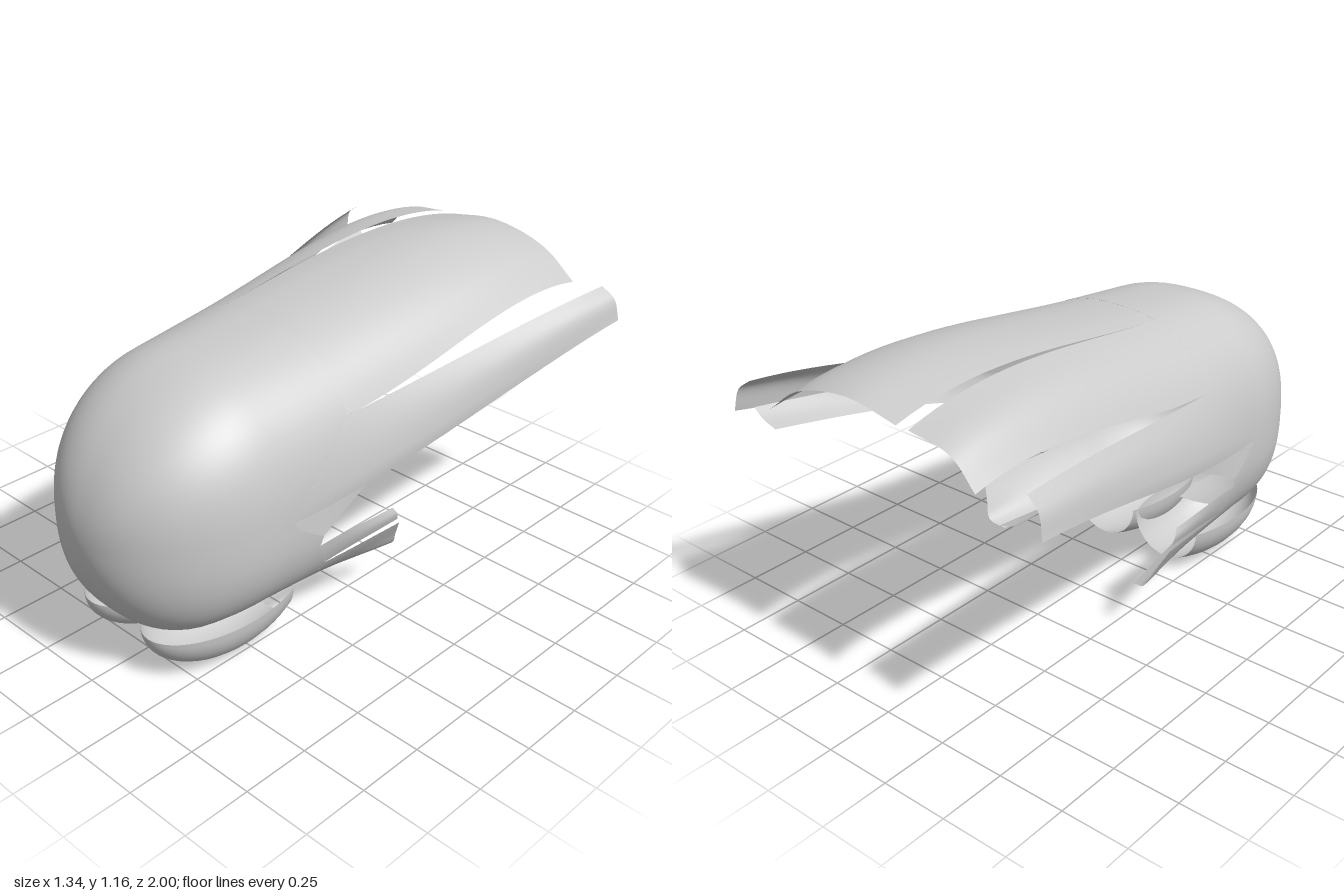
import * as THREE from 'three';

const material = new THREE.MeshStandardMaterial({ color: 0xcccccc, side: THREE.DoubleSide });

// Smooth surface from a rows x cols grid; point(i, j) returns a Vector3
function gridMesh(name, rows, cols, point, flip = false) {
  const pos = [], index = [];
  for (let i = 0; i <= rows; i++)
    for (let j = 0; j <= cols; j++) pos.push(...point(i, j).toArray());
  for (let i = 0; i < rows; i++)
    for (let j = 0; j < cols; j++) {
      const a = i * (cols + 1) + j, b = a + 1, c = a + cols + 1, d = c + 1;
      if (flip) index.push(a, c, b, b, c, d);
      else index.push(a, b, c, b, d, c);
    }
  const geometry = new THREE.BufferGeometry();
  geometry.setAttribute('position', new THREE.Float32BufferAttribute(pos, 3));
  geometry.setIndex(index);
  geometry.computeVertexNormals();
  const mesh = new THREE.Mesh(geometry, material);
  mesh.name = name;
  return mesh;
}

// Quarter-ellipse growth from the nose (z = 1) over a given length
const swell = (z, length) => {
  const k = 1 - Math.min(1, Math.max(0, (1 - z) / length));
  return Math.sqrt(1 - k * k);
};
const power = (v) => Math.sign(v) * Math.pow(Math.abs(v), 0.8);

// Head surface: rounded-square sections, angle 0 is the top, PI the bottom
function headPoint(angle, z) {
  const w = 0.43 * swell(z, 0.5) + 0.1 * Math.max(0, 0.5 - z);
  const up = 0.45 * swell(z, 0.5) + 0.1 * (1 - z);
  const down = 0.41 * swell(z, 0.3);
  const c = Math.cos(angle);
  return new THREE.Vector3(w * power(Math.sin(angle)), 0.55 + (c > 0 ? up : down) * power(c), z);
}

// Angles where the shell is cut into strips, with the z at which it ends there
const ROOF = 1.045, WING = 1.55, SIDE = 1.7, JAW = 1.787, JAW_SPLIT = 2.05, JAW_END = 2.65, SLIT = 0.293;
const rim = [[0, 0.2], [SLIT, 0.2], [ROOF, 0.2], [WING, 0.47], [SIDE, 0.34], [JAW, 0.35],
  [JAW_SPLIT, 0.3], [JAW_END, 0.34], [JAW_END + 0.01, 0.6], [Math.PI, 0.6]];

function rimZ(angle) {
  const a = Math.min(Math.abs(angle), Math.PI);
  for (let k = 1; k < rim.length; k++) {
    const [a0, z0] = rim[k - 1], [a1, z1] = rim[k];
    if (a <= a1 + 1e-9) return z0 + (z1 - z0) * (a - a0) / (a1 - a0);
  }
  return 0.6;
}

// Strip that leaves the rim between two angles and sweeps back to an end curve.
// lift and droop bend its start and end; m = -1 mirrors it.
function strip(name, a0, a1, end, { lift = [0, 0], droop = [0, 0], m = 1 } = {}) {
  const tip = new THREE.CatmullRomCurve3(end.map((p) => new THREE.Vector3(...p)));
  const rows = 20, cols = 12;
  return gridMesh(name, rows, cols, (i, j) => {
    const t = i / rows, u = j / cols, t2 = t * t, t3 = t2 * t;
    const angle = a0 + (a1 - a0) * u, z = rimZ(angle);
    const p0 = headPoint(angle, z), p1 = tip.getPoint(u);
    const chord = p1.clone().sub(p0);
    const d0 = p0.clone().sub(headPoint(angle, z + 0.04)).multiplyScalar(-chord.z / 0.04);
    d0.x += lift[0];
    d0.y += lift[1];
    const d1 = chord.clone();
    d1.x += droop[0];
    d1.y += droop[1];
    const p = p0.multiplyScalar(2 * t3 - 3 * t2 + 1)
      .addScaledVector(d0, t3 - 2 * t2 + t)
      .addScaledVector(p1, 3 * t2 - 2 * t3)
      .addScaledVector(d1, t3 - t2);
    p.x *= m;
    return p;
  }, m < 0);
}

export function createModel() {
  const group = new THREE.Group();
  group.name = 'streamingShell';

  // Rounded head, open at the back
  const angles = [-Math.PI];
  const stops = [...rim.slice(1).map((r) => -r[0]).reverse(), ...rim.map((r) => r[0])];
  for (let k = 1; k < stops.length; k++) {
    const n = Math.max(1, Math.ceil((stops[k] - stops[k - 1]) / 0.07));
    for (let s = 1; s <= n; s++) angles.push(stops[k - 1] + (stops[k] - stops[k - 1]) * s / n);
  }
  const rows = 28;
  group.add(gridMesh('head', rows, angles.length - 1, (i, j) => {
    const v = i / rows;
    return headPoint(angles[j], 1 - (1 - rimZ(angles[j])) * v * v);
  }));

  // Two roof strips, split off-centre
  const roofBend = { droop: [0, -0.36] };
  group.add(strip('narrowRoofStrip', -ROOF, -SLIT,
    [[-0.44, 0.97, -1], [-0.35, 1.06, -1], [-0.18, 1.09, -1]], roofBend));
  group.add(strip('wideRoofStrip', -SLIT, ROOF,
    [[-0.13, 1.09, -1], [0.08, 1.12, -1], [0.31, 1.07, -1], [0.45, 0.97, -1]], roofBend));

  for (const m of [1, -1]) {
    const side = m > 0 ? 'left' : 'right';
    // Flared wing and the inner strip below it
    group.add(strip(side + 'WingStrip', ROOF, WING,
      [[0.6, 1.01, -0.96], [0.65, 0.97, -0.97], [0.67, 0.89, -0.98]], { droop: [-0.05, -0.1], m }));
    group.add(strip(side + 'InnerStrip', WING, SIDE,
      [[0.59, 0.92, -0.96], [0.55, 0.89, -0.96], [0.49, 0.87, -0.96]],
      { lift: [-0.15, 0.75], droop: [0.05, -0.2], m }));
    // Short torn tongue inside the side opening
    group.add(strip(side + 'Tongue', WING + 0.05, SIDE,
      [[0.43, 0.68, -0.04], [0.41, 0.66, 0.02], [0.39, 0.64, -0.02]], { lift: [-0.04, 0.2], m }));
    // Jaw in two ragged strips
    group.add(strip(side + 'UpperJawStrip', JAW, JAW_SPLIT,
      [[0.44, 0.42, -0.01], [0.447, 0.39, -0.03], [0.44, 0.36, -0.04]], { lift: [0, 0.05], m }));
    group.add(strip(side + 'LowerJawStrip', JAW_SPLIT, JAW_END,
      [[0.44, 0.34, -0.05], [0.4, 0.26, -0.08], [0.37, 0.2, -0.1], [0.31, 0.175, -0.08]], { m }));
    // Rounded chin lobe, open at top and back
    group.add(gridMesh(side + 'ChinLobe', 18, 20, (i, j) => {
      const v = i / 18, z = 0.87 - 0.54 * v * v * (1.5 - 0.5 * v);
      const k = z > 0.55 ? (z - 0.55) / 0.32 : (z - 0.55) / 0.36;
      const r = Math.sqrt(Math.max(0, 1 - k * k)), b = Math.PI * j / 20;
      return new THREE.Vector3(m * (0.15 + 0.18 * r * Math.cos(b)), 0.18 - 0.18 * r * Math.sin(b), z);
    }, m > 0));
  }
  return group;
}
